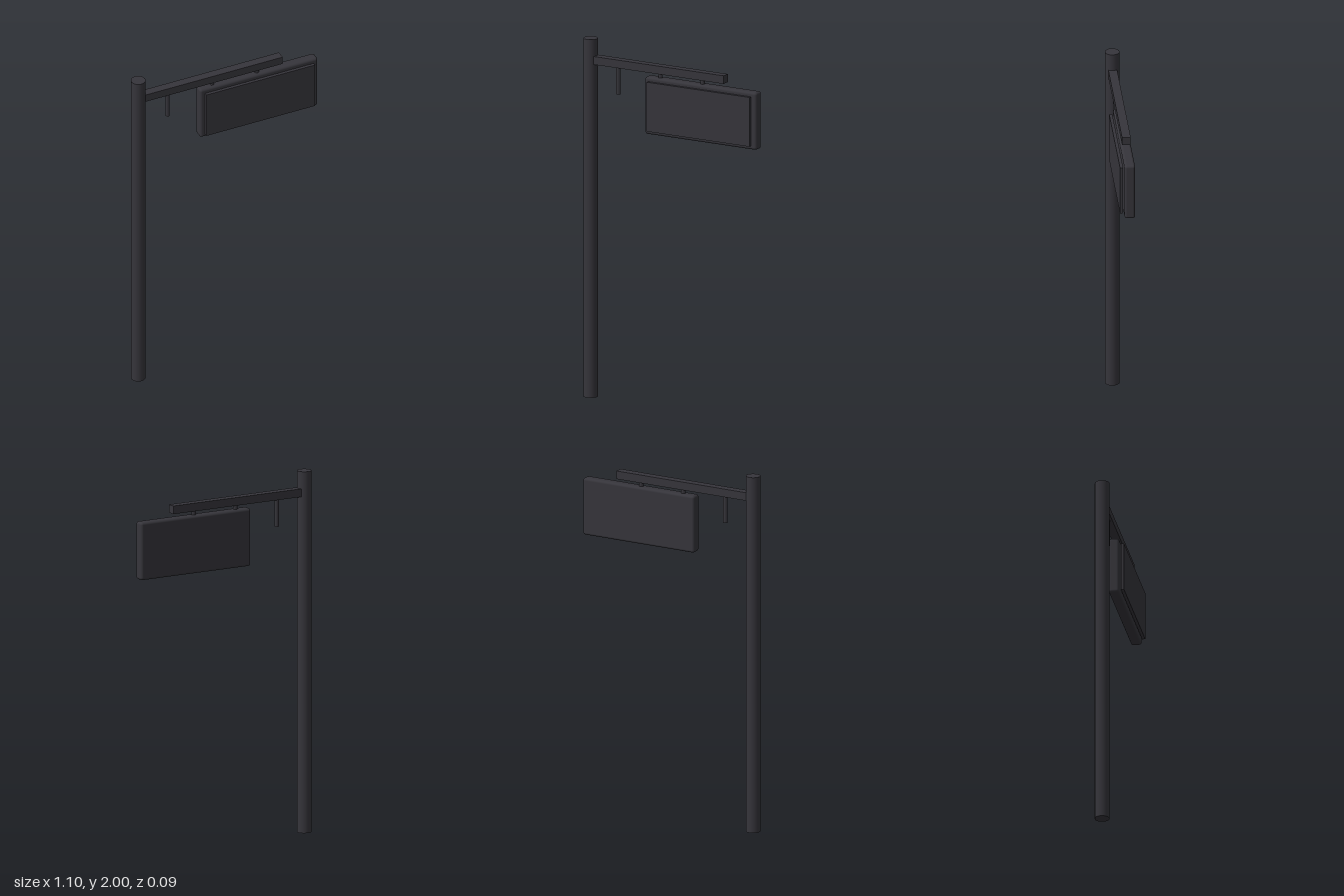
import * as THREE from 'three';
import { RoundedBoxGeometry } from 'three/addons/geometries/RoundedBoxGeometry.js';

export function createModel() {
  const group = new THREE.Group();
  const metal = new THREE.MeshStandardMaterial({ color: 0x36353b });
  metal.name = 'dark metal';

  const add = (name, geometry, x, y, z) => {
    const mesh = new THREE.Mesh(geometry, metal);
    mesh.name = name;
    mesh.position.set(x, y, z);
    group.add(mesh);
  };

  // Upright pole and the arm that reaches out from it
  add('pole', new THREE.CylinderGeometry(0.04, 0.04, 2, 16), -0.51, 1, -0.006);
  add('arm', new THREE.BoxGeometry(0.84, 0.045, 0.047), -0.08, 1.883, -0.006);

  // Short rod below the arm, near the pole
  const rod = (name, x, bottom) => {
    const height = 1.87 - bottom;
    add(name, new THREE.CylinderGeometry(0.0125, 0.0125, height, 8), x, bottom + height / 2, -0.006);
  };
  rod('brace', -0.335, 1.71);

  // Hangers that carry the sign
  for (const x of [-0.07, 0.196]) rod('hanger', x, 1.825);

  // Sign box with softened edges, and its face plate standing just in front
  add('signBox', new RoundedBoxGeometry(0.702, 0.32, 0.058, 3, 0.014), 0.198, 1.677, -0.007);
  add('facePlate', new THREE.BoxGeometry(0.647, 0.275, 0.017), 0.197, 1.677, 0.0365);

  return group;
}
